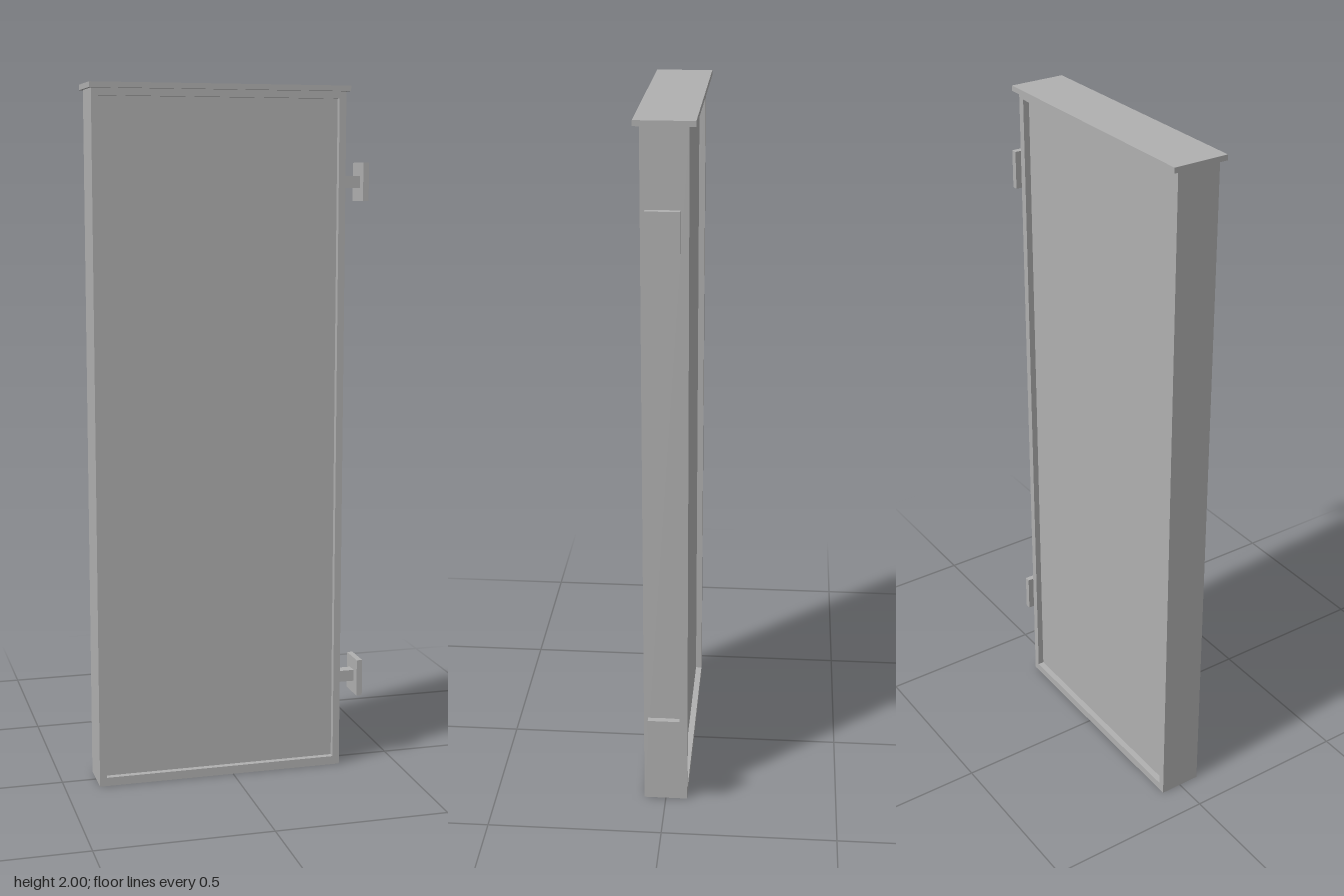
import * as THREE from 'three';

export function createModel() {
  const group = new THREE.Group();
  const grey = new THREE.MeshStandardMaterial({ name: 'grey metal', color: 0xb0b0b0 });

  // Box given by its minimum and maximum corners
  function box(name, [x0, y0, z0], [x1, y1, z1]) {
    const mesh = new THREE.Mesh(new THREE.BoxGeometry(x1 - x0, y1 - y0, z1 - z0), grey);
    mesh.name = name;
    mesh.position.set((x0 + x1) / 2, (y0 + y1) / 2, (z0 + z1) / 2);
    group.add(mesh);
  }

  function rectangle(Type, x0, y0, x1, y1) {
    return new Type([[x0, y0], [x1, y0], [x1, y1], [x0, y1]].map(p => new THREE.Vector2(...p)));
  }

  // Frame with a rectangular opening
  const halfDepth = 0.063;
  const outline = rectangle(THREE.Shape, -0.4, 0, 0.33, 1.985);
  outline.holes.push(rectangle(THREE.Path, -0.38, 0.025, 0.31, 1.965));
  const frameGeometry = new THREE.ExtrudeGeometry(outline, { depth: 2 * halfDepth, bevelEnabled: false });
  frameGeometry.translate(0, 0, -halfDepth);
  const frame = new THREE.Mesh(frameGeometry, grey);
  frame.name = 'frame';
  group.add(frame);

  // Panel recessed on both faces
  box('panel', [-0.38, 0.025, -0.045], [0.31, 1.965, 0.045]);

  // Overhanging cap
  box('topCap', [-0.408, 1.985, -0.08], [0.338, 2, 0.08]);

  // Two mounting brackets: a short stem ending in a square plate
  for (const [name, y] of [['lowerBracket', 0.257], ['upperBracket', 1.733]]) {
    box(name + 'Stem', [0.33, y - 0.017, -0.017], [0.39, y + 0.017, 0.017]);
    box(name + 'Plate', [0.39, y - 0.055, -0.045], [0.407, y + 0.055, 0.045]);
  }

  return group;
}
